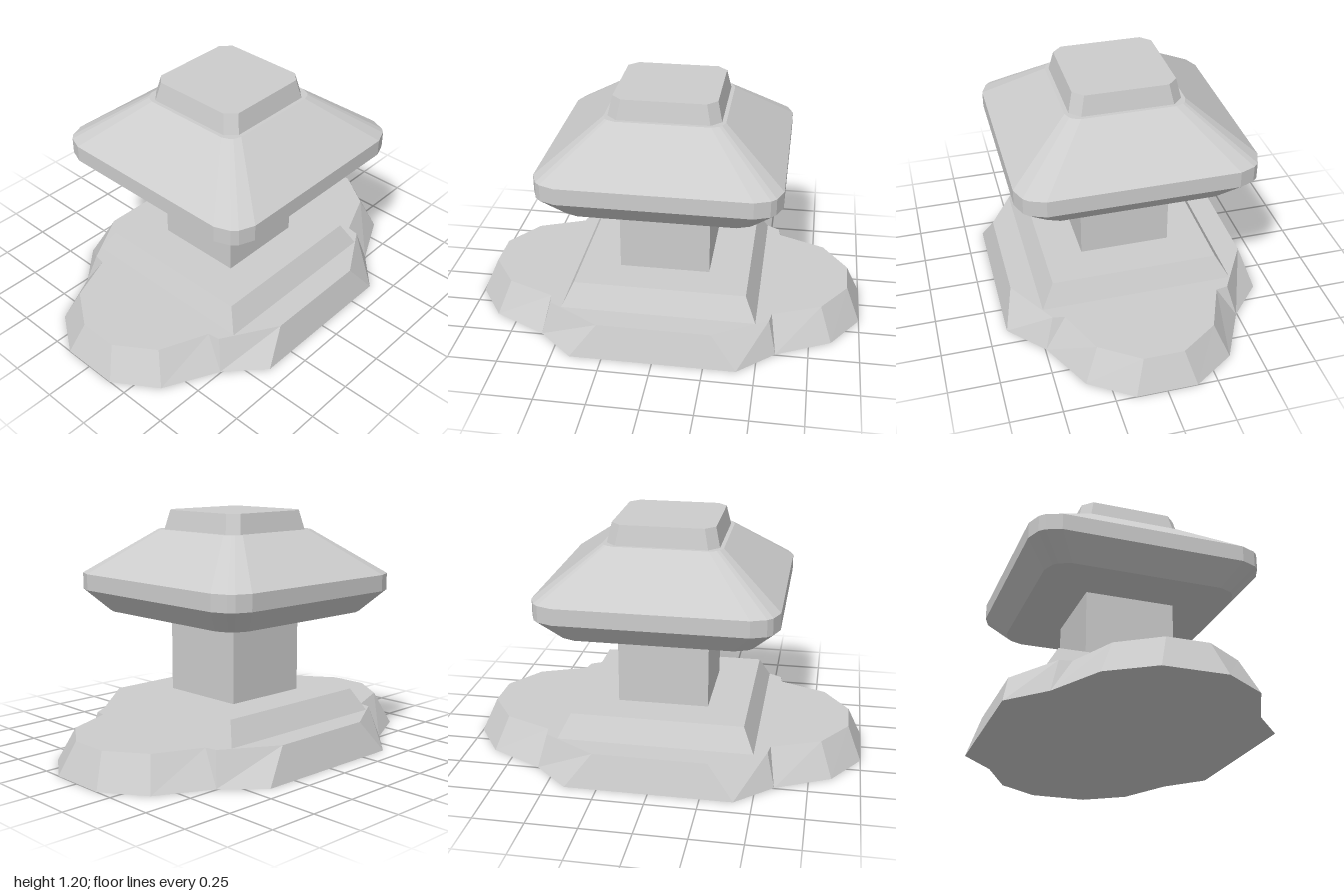
import * as THREE from 'three';

// Mirrors a quarter outline ([x, z] from +x round to +z) into a full ring
function fullRing(quarter) {
  const back = [...quarter].reverse();
  return [
    ...quarter,
    ...back.map(([x, z]) => [-x, z]),
    ...quarter.map(([x, z]) => [-x, -z]),
    ...back.map(([x, z]) => [x, -z]),
  ];
}

// Closed solid through stacked levels of { y, quarter }
function loft(levels) {
  const rings = levels.map(({ y, quarter }) =>
    fullRing(quarter).map(([x, z]) => new THREE.Vector3(x, y, z)));
  const positions = [];
  const tri = (a, b, c) => {
    const area = new THREE.Vector3().subVectors(b, a)
      .cross(new THREE.Vector3().subVectors(c, a)).length();
    if (area > 1e-7) for (const p of [a, b, c]) positions.push(p.x, p.y, p.z);
  };
  const n = rings[0].length;
  const last = rings.length - 1;
  const bottom = new THREE.Vector3(0, levels[0].y, 0);
  const top = new THREE.Vector3(0, levels[last].y, 0);
  for (let i = 0; i < n; i++) {
    const j = (i + 1) % n;
    for (let k = 0; k < last; k++) {
      const low = rings[k], high = rings[k + 1];
      tri(low[i], high[i], low[j]);
      tri(low[j], high[i], high[j]);
    }
    tri(bottom, rings[0][i], rings[0][j]);
    tri(top, rings[last][j], rings[last][i]);
  }
  const geometry = new THREE.BufferGeometry();
  geometry.setAttribute('position', new THREE.Float32BufferAttribute(positions, 3));
  geometry.computeVertexNormals();
  return geometry;
}

export function createModel() {
  const group = new THREE.Group();
  const stone = new THREE.MeshStandardMaterial({ color: 0xcccccc });
  stone.name = 'greyStone';
  stone.flatShading = true;

  const add = (name, levels) => {
    const mesh = new THREE.Mesh(loft(levels), stone);
    mesh.name = name;
    group.add(mesh);
  };
  const square = (y, h, d = h) => ({ y, quarter: [[h, d]] });
  const chamfered = (y, h, c) => ({ y, quarter: [[h, h - c], [h - c, h]] });
  // Square with softly rounded corners
  const rounded = (y, h) => ({
    y,
    quarter: [[1, 0.78], [0.95, 0.907], [0.907, 0.95], [0.78, 1]].map(([x, z]) => [x * h, z * h]),
  });

  // Foot with rounded ends and notches where the sides meet them
  add('footSlab', [
    { y: 0, quarter: [[0.66, 0.41], [0.495, 0.59], [0.495, 0.59], [0.36, 0.86], [0.15, 1]] },
    { y: 0.165, quarter: [[0.61, 0.28], [0.45, 0.55], [0.39, 0.56], [0.29, 0.8], [0.1, 0.93]] },
  ]);
  add('plinth', [square(0.165, 0.485), square(0.277, 0.42, 0.43)]);
  add('column', [square(0.277, 0.228), square(0.695, 0.228)]);

  // Overhanging roof with an upright rim
  add('roof', [rounded(0.693, 0.485), rounded(0.803, 0.588), rounded(0.885, 0.588), rounded(1.107, 0.293)]);
  add('roofCap', [chamfered(1.107, 0.274, 0.05), chamfered(1.204, 0.252, 0.048)]);

  return group;
}
